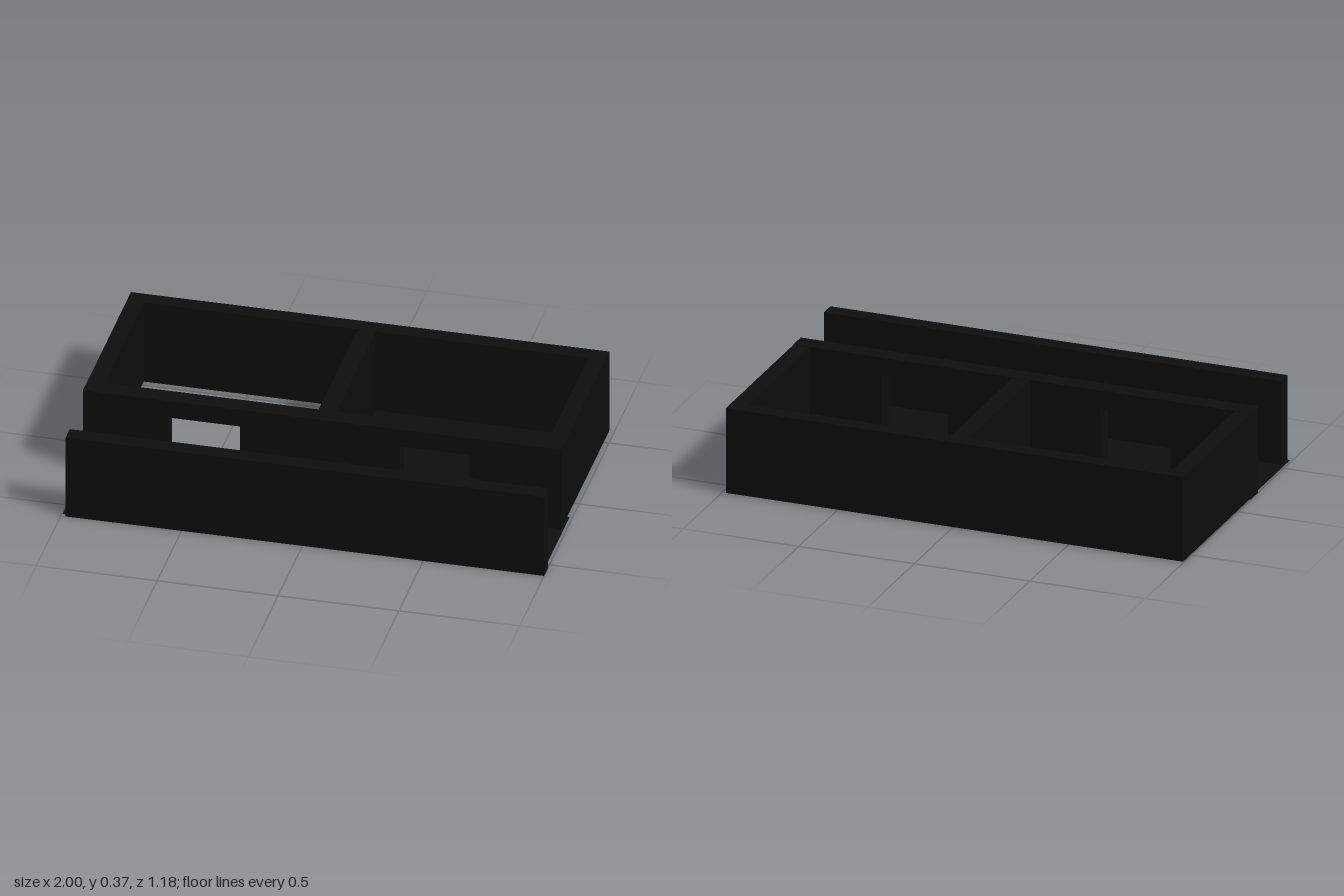
import * as THREE from 'three';

const material = new THREE.MeshStandardMaterial({ color: 0x0d0d0d });
const floorMaterial = new THREE.MeshStandardMaterial({ color: 0x0d0d0d, side: THREE.DoubleSide });

// Straight wall given by its extents on each axis
function wall(name, [x0, x1], [y0, y1], [z0, z1]) {
  const mesh = new THREE.Mesh(new THREE.BoxGeometry(x1 - x0, y1 - y0, z1 - z0), material);
  mesh.name = name;
  mesh.position.set((x0 + x1) / 2, (y0 + y1) / 2, (z0 + z1) / 2);
  return mesh;
}

// Thin floor sheet
function floor(name, [x0, x1], [z0, z1]) {
  const geometry = new THREE.PlaneGeometry(x1 - x0, z1 - z0).rotateX(-Math.PI / 2);
  const mesh = new THREE.Mesh(geometry, floorMaterial);
  mesh.name = name;
  mesh.position.set((x0 + x1) / 2, 0.005, (z0 + z1) / 2);
  return mesh;
}

// Wall outline notched by doorways that reach the floor
function wallWithDoors(name, [x0, x1], height, [z0, z1], doors, doorHeight) {
  const shape = new THREE.Shape();
  shape.moveTo(x0, 0);
  for (const [a, b] of doors) {
    shape.lineTo(a, 0);
    shape.lineTo(a, doorHeight);
    shape.lineTo(b, doorHeight);
    shape.lineTo(b, 0);
  }
  shape.lineTo(x1, 0);
  shape.lineTo(x1, height);
  shape.lineTo(x0, height);
  shape.closePath();
  const geometry = new THREE.ExtrudeGeometry(shape, { depth: z1 - z0, bevelEnabled: false });
  const mesh = new THREE.Mesh(geometry, material);
  mesh.name = name;
  mesh.position.z = z0;
  return mesh;
}

export function createModel() {
  const model = new THREE.Group();
  model.name = 'roomsAndCorridor';
  const height = [0.005, 0.372];

  // Outer walls and the partition between the two rooms
  model.add(
    wall('backWall', [-1, 0.98], height, [-0.59, -0.52]),
    wall('rightEndWall', [-1, -0.93], height, [-0.52, 0.14]),
    wall('leftEndWall', [0.91, 0.98], height, [-0.52, 0.14]),
    wall('partitionWall', [-0.045, 0.03], height, [-0.52, 0.14]),
  );

  // Corridor: inner wall with one door per room, and outer wall
  const doors = [[-0.65, -0.35], [0.31, 0.6]];
  model.add(
    wallWithDoors('corridorDoorWall', [-1, 0.98], 0.374, [0.14, 0.22], doors, 0.297),
    wall('corridorFrontWall', [-0.98, 1], [0, 0.367], [0.52, 0.59]),
  );

  // Floors: the other room is left open below
  model.add(
    floor('corridorFloor', [-0.995, 0.99], [0.12, 0.58]),
    floor('roomFloor', [-0.04, 0.975], [-0.585, 0.12]),
  );
  return model;
}
